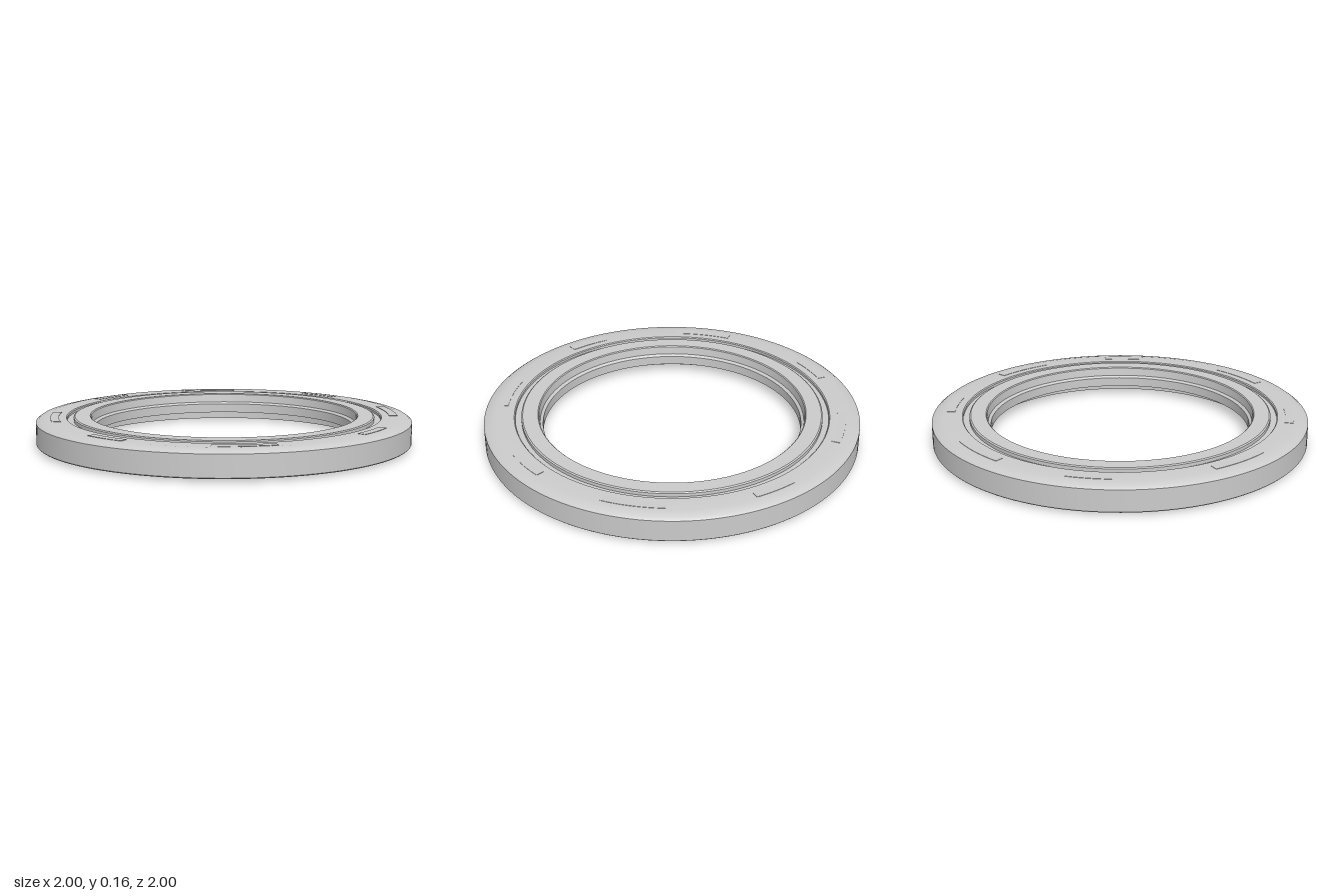
import * as THREE from 'three';
import { toCreasedNormals } from 'three/addons/utils/BufferGeometryUtils.js';

const material = new THREE.MeshStandardMaterial({ color: 0xcccccc });
const RAD = Math.PI / 180;

// Flat curved block; angle is measured from +z towards +x, in degrees
function arcBlock(name, r0, r1, y0, y1, angle, span) {
  const a = (angle - 90 - span / 2) * RAD;
  const b = (angle - 90 + span / 2) * RAD;
  const shape = new THREE.Shape();
  shape.absarc(0, 0, r1, a, b, false);
  shape.absarc(0, 0, r0, b, a, true);
  const geo = new THREE.ExtrudeGeometry(shape, { depth: y1 - y0, bevelEnabled: false, curveSegments: 16 });
  geo.rotateX(-Math.PI / 2).translate(0, y0, 0);
  const mesh = new THREE.Mesh(toCreasedNormals(geo, 0.5), material);
  mesh.name = name;
  return mesh;
}

export function createModel() {
  const group = new THREE.Group();
  group.name = 'mountingRing';

  // Ring section: foot, underside channel, outer rim, bevel, top groove, stepped bore
  const profile = [
    [0.78, 0], [0.86, 0],
    [0.86, 0.11], [0.945, 0.11],
    [0.945, 0.015], [0.995, 0.015], [1, 0.02],
    [1, 0.133], [0.985, 0.144], [0.94, 0.153],
    [0.84, 0.153], [0.835, 0.148], [0.835, 0.135],
    [0.802, 0.135], [0.802, 0.153], [0.795, 0.158],
    [0.715, 0.158], [0.71, 0.153], [0.705, 0.11],
    [0.69, 0.10], [0.69, 0.05],
    [0.75, 0.05], [0.78, 0.04], [0.78, 0],
  ].map(([r, y]) => new THREE.Vector2(r, y));
  const ring = new THREE.Mesh(toCreasedNormals(new THREE.LatheGeometry(profile, 128), 0.5), material);
  ring.name = 'ringBody';
  group.add(ring);

  // Eight curved pads around the top face, longer on the diagonals
  for (let i = 0; i < 8; i++) {
    const offset = i % 4 === 0 ? (i === 0 ? 4 : -4) : 0;
    const span = i % 2 ? 20 : 14;
    group.add(arcBlock('topPad' + (i + 1), 0.88, 0.925, 0.145, 0.155, i * 45 + offset, span));
  }

  // Three locking tabs bridging the underside channel
  [31, 143, 255].forEach((angle, i) => {
    group.add(arcBlock('lockingTab' + (i + 1), 0.87, 0.95, 0.016, 0.04, angle, 37));
  });

  return group;
}
